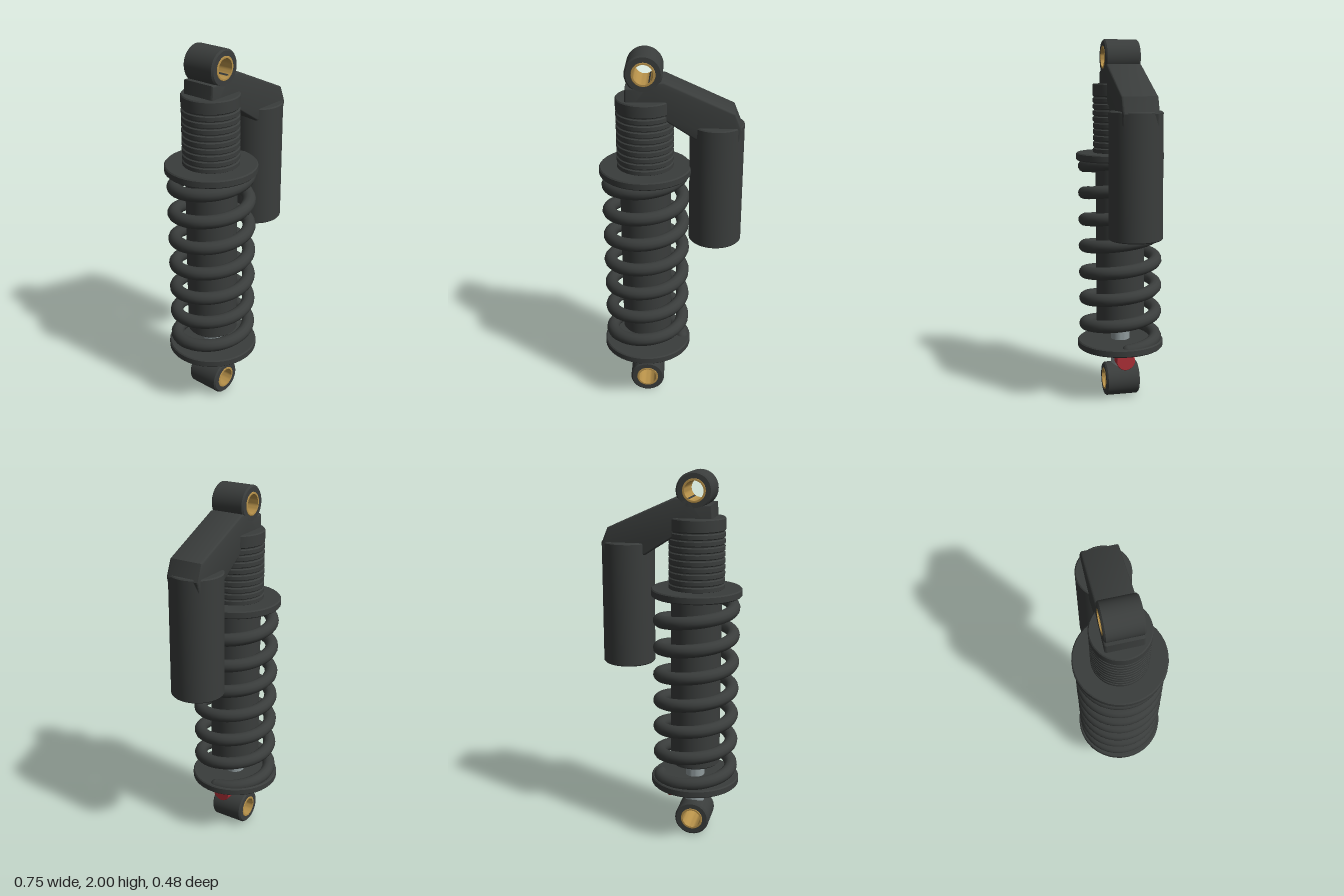
import * as THREE from 'three';
import { toCreasedNormals } from 'three/addons/utils/BufferGeometryUtils.js';

const AXIS = -0.135; // x of the damper axis
const mat = (color) => new THREE.MeshStandardMaterial({ color });

export function createModel() {
  const model = new THREE.Group();
  const dark = mat(0x3a3d3c), steel = mat(0x8f9a9c), brass = mat(0xb8924a), red = mat(0xb03038);

  const add = (name, geometry, material, x = 0, y = 0, z = 0) => {
    const mesh = new THREE.Mesh(geometry, material);
    mesh.name = name;
    mesh.position.set(x, y, z);
    model.add(mesh);
    return mesh;
  };
  // Turned part from [radius, height] pairs, keeping sharp edges
  const turned = (pairs, segments = 40) => toCreasedNormals(
    new THREE.LatheGeometry(pairs.map(([r, y]) => new THREE.Vector2(r, y)), segments), 0.6);
  // Solid disc or cylinder with a small chamfer
  const disc = (r, y0, y1, c = 0.006) => turned(
    [[0, y0], [r - c, y0], [r, y0 + c], [r, y1 - c], [r - c, y1], [0, y1]]);
  // Tube with chamfered outer edges, open through the middle
  const sleeve = (ro, ri, h, c) => turned(
    [[ri, -h], [ro - c, -h], [ro, -h + c], [ro, h - c], [ro - c, h], [ri, h], [ri, -h]]);

  // Mounting eyes with brass bushings
  for (const [end, y] of [['lower', 0.095], ['upper', 1.905]]) {
    add(end + 'Eye', sleeve(0.095, 0.06, 0.095, 0.008), dark, AXIS, y).rotation.x = Math.PI / 2;
    add(end + 'Bushing', sleeve(0.061, 0.05, 0.097, 0.002), brass, AXIS, y).rotation.x = Math.PI / 2;
  }

  // Piston shaft, damper body and spring seats
  add('shaft', disc(0.052, 0.17, 0.5, 0.004), steel, AXIS);
  add('damperBody', disc(0.135, 0.41, 1.42), dark, AXIS);
  add('lowerSpringSeat', disc(0.242, 0.29, 0.332), dark, AXIS);
  add('upperSpringSeat', disc(0.242, 1.352, 1.394), dark, AXIS);

  // Threaded upper body
  const thread = [[0, 1.38], [0.143, 1.38]];
  for (let i = 0; i < 9; i++) {
    const y = 1.39 + i * 0.034;
    thread.push([0.143, y], [0.149, y + 0.005], [0.149, y + 0.025], [0.143, y + 0.03]);
  }
  thread.push([0.143, 1.696], [0.15, 1.702], [0.15, 1.76], [0.145, 1.766], [0, 1.766]);
  add('threadedBody', turned(thread), dark, AXIS);

  // Coil spring, winding down from the upper seat
  const TURNS = 7, R = 0.198, WIRE = 0.035;
  class Helix extends THREE.Curve {
    getPoint(t, target = new THREE.Vector3()) {
      const a = t * TURNS * Math.PI * 2;
      return target.set(R * Math.cos(a), 1.36 - 1.045 * t, R * Math.sin(a));
    }
  }
  const helix = new Helix();
  add('spring', new THREE.TubeGeometry(helix, TURNS * 36, WIRE, 12), dark, AXIS);
  for (const t of [0, 1]) {
    const p = helix.getPoint(t);
    add('springEnd', new THREE.SphereGeometry(WIRE, 12, 8), dark, AXIS + p.x, p.y, p.z);
  }

  // Bridge from the upper eye to the reservoir
  const outline = [[-0.225, 1.7], [-0.06, 1.7], [0.125, 1.58], [0.33, 1.55], [0.347, 1.62],
    [0.315, 1.7], [-0.035, 1.858], [-0.1, 1.858], [-0.13, 1.827], [-0.218, 1.827]];
  const BEVEL = 0.01;
  const bridge = new THREE.ExtrudeGeometry(
    new THREE.Shape(outline.map(([x, y]) => new THREE.Vector2(x, y))),
    { depth: 0.19 - 2 * BEVEL, bevelSize: BEVEL, bevelThickness: BEVEL, bevelSegments: 3 });
  add('bridge', toCreasedNormals(bridge, 0.6), dark, 0, 0, -0.095 + BEVEL);

  // Reservoir and adjuster knob
  add('reservoir', disc(0.14, 0.973, 1.632), dark, 0.235);
  add('adjusterKnob', disc(0.052, -0.036, 0.036, 0.003), red, -0.022, 0.238).rotation.z = Math.PI / 2;

  return model;
}
